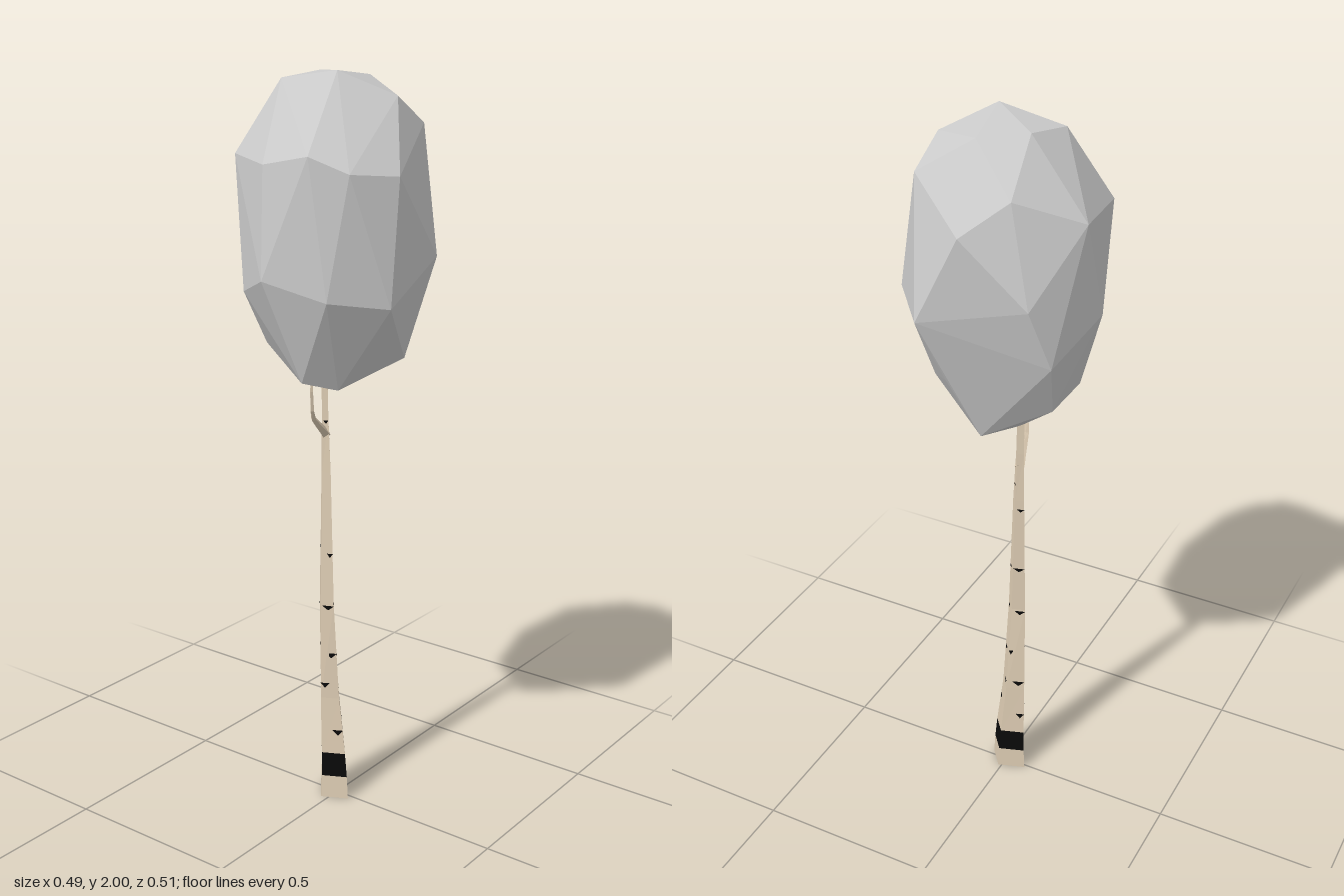
import * as THREE from 'three';
import { ConvexGeometry } from 'three/addons/geometries/ConvexGeometry.js';

const V = (x, y, z) => new THREE.Vector3(x, y, z);
const material = (color) => new THREE.MeshStandardMaterial({ color, flatShading: true, side: THREE.DoubleSide });

// Faceted surface from triangle corners
function facets(points) {
  const g = new THREE.BufferGeometry().setFromPoints(points);
  g.computeVertexNormals();
  return g;
}

// Joins rings of four corners, closed at both ends
function loft(rings) {
  const tri = [];
  for (let r = 0; r < rings.length - 1; r++) {
    const lo = rings[r], hi = rings[r + 1];
    for (let i = 0; i < 4; i++) {
      const j = (i + 1) % 4;
      tri.push(lo[i], lo[j], hi[j], lo[i], hi[j], hi[i]);
    }
  }
  const a = rings[0], b = rings[rings.length - 1];
  tri.push(a[0], a[2], a[1], a[0], a[3], a[2], b[0], b[1], b[2], b[0], b[2], b[3]);
  return facets(tri);
}

// Trunk sections: y, centre x, centre z, half width x, half depth z
const SECTIONS = [
  [0, -0.008, -0.008, 0.042, 0.057],
  [0.065, -0.007, -0.009, 0.039, 0.053],
  [0.135, -0.007, -0.012, 0.036, 0.049],
  [0.3, -0.008, -0.022, 0.029, 0.038],
  [0.58, -0.013, -0.028, 0.018, 0.028],
  [0.95, -0.002, -0.037, 0.012, 0.018],
  [1.1, 0.001, -0.042, 0.01, 0.013],
  [1.3, 0.002, -0.045, 0.008, 0.01],
];
// Front, right, back and left corner of the trunk's skewed square
const CORNERS = [[-0.18, 1], [1, 0.3], [0.4, -1], [-1, -0.2]];

function trunkRing([y, cx, cz, hx, hz], grow = 1) {
  return CORNERS.map(([x, z]) => V(cx + x * hx * grow, y, cz + z * hz * grow));
}

function trunkRingAt(y, grow) {
  const k = SECTIONS.findIndex((s) => s[0] > y);
  const a = SECTIONS[k - 1], b = SECTIONS[k];
  const t = (y - a[0]) / (b[0] - a[0]);
  return trunkRing(a.map((v, i) => v + (b[i] - v) * t), grow);
}

// Bark marks: height, face, start and end across the face
const MARKS = [
  [0.2, 3, 0.5, 1], [0.2, 1, 0.6, 1], [0.24, 0, 0, 0.4], [0.24, 2, 0, 0.5],
  [0.32, 0, 0.5, 1], [0.32, 1, 0.3, 1], [0.34, 3, 0, 0.5], [0.34, 2, 0.4, 1],
  [0.43, 0, 0, 0.6], [0.43, 3, 0.3, 1], [0.43, 1, 0, 0.3], [0.45, 2, 0, 0.6],
  [0.57, 1, 0.2, 1], [0.57, 3, 0.1, 1], [0.57, 2, 0, 0.5], [0.58, 0, 0, 0.5],
  [0.72, 1, 0, 1], [0.72, 0, 0, 0.6], [0.72, 3, 0.5, 1], [0.74, 2, 0.3, 1],
  [0.92, 1, 0.2, 1], [0.92, 2, 0, 0.5], [1.0, 0, 0.2, 1], [1.09, 3, 0.2, 1],
];

function barkMarks() {
  const tri = [];
  for (const [y, face, u0, u1] of MARKS) {
    const at = (h, u) => {
      const ring = trunkRingAt(h, 1.03);
      return ring[face].clone().lerp(ring[(face + 1) % 4], u);
    };
    const h = 0.012 - 0.006 * y;
    tri.push(at(y + h * 0.5, u0), at(y - h, (u0 + u1) / 2), at(y + h * 0.5, u1));
  }
  return facets(tri);
}

// Tapered side branch that bends up into the crown
function branch() {
  const path = new THREE.CatmullRomCurve3([
    V(0.002, 1.055, -0.04), V(-0.035, 1.085, -0.031), V(-0.073, 1.115, -0.022),
    V(-0.092, 1.16, -0.013), V(-0.097, 1.28, -0.008),
  ]);
  const rings = [];
  for (let i = 0; i <= 6; i++) {
    const p = path.getPoint(i / 6), t = path.getTangent(i / 6);
    const radius = 0.004 + 0.01 * (1 - i / 6) ** 1.5;
    const v = t.clone().cross(V(0, 0, 1)).normalize();
    const u = v.clone().cross(t).normalize();
    rings.push([0, 1, 2, 3].map((k) => {
      const a = (k * Math.PI) / 2;
      return p.clone().addScaledVector(u, radius * Math.cos(a)).addScaledVector(v, radius * Math.sin(a));
    }));
  }
  return loft(rings);
}

// Crown corners from the top tier down
const CROWN = [
  [-0.08, 2.0, 0.06], [0.11, 1.98, 0.02], [0.05, 1.99, -0.09], [-0.065, 1.975, -0.125], [0.01, 1.94, 0.175],
  [0.11, 1.87, 0.185], [0.17, 1.87, -0.1], [-0.23, 1.81, 0.085], [0.243, 1.79, 0],
  [0.055, 1.8, -0.24], [-0.135, 1.79, -0.22], [-0.215, 1.78, -0.065], [-0.075, 1.76, 0.243], [-0.185, 1.77, 0.175],
  [0.2, 1.62, -0.16], [0.077, 1.55, 0.252], [0.242, 1.55, 0.12], [-0.01, 1.545, -0.255], [-0.245, 1.5, -0.05],
  [-0.21, 1.46, 0.125], [-0.095, 1.44, 0.235], [0.155, 1.46, -0.2], [-0.17, 1.45, -0.17], [0.17, 1.37, 0.08],
  [0.03, 1.29, 0.19], [0.08, 1.3, -0.17], [-0.08, 1.3, -0.17],
  [-0.15, 1.23, 0.0], [-0.09, 1.21, 0.07], [0.12, 1.2, 0.01], [0.0, 1.18, -0.04],
];

export function createModel() {
  const tree = new THREE.Group();
  tree.name = 'tree';
  const add = (name, geometry, mat) => {
    const mesh = new THREE.Mesh(geometry, mat);
    mesh.name = name;
    tree.add(mesh);
  };
  const bark = material(0xdecdb4);
  const black = material(0x0a0a0a);
  const rings = SECTIONS.map((s) => trunkRing(s));

  add('trunkBase', loft(rings.slice(0, 2)), bark);
  add('trunkBand', loft(rings.slice(1, 3)), black);
  add('trunk', loft(rings.slice(2)), bark);
  add('barkMarks', barkMarks(), black);
  add('branch', branch(), bark);
  add('crown', new ConvexGeometry(CROWN.map((p) => V(...p))),
    new THREE.MeshStandardMaterial({ color: 0xcccccc, flatShading: true }));
  return tree;
}
